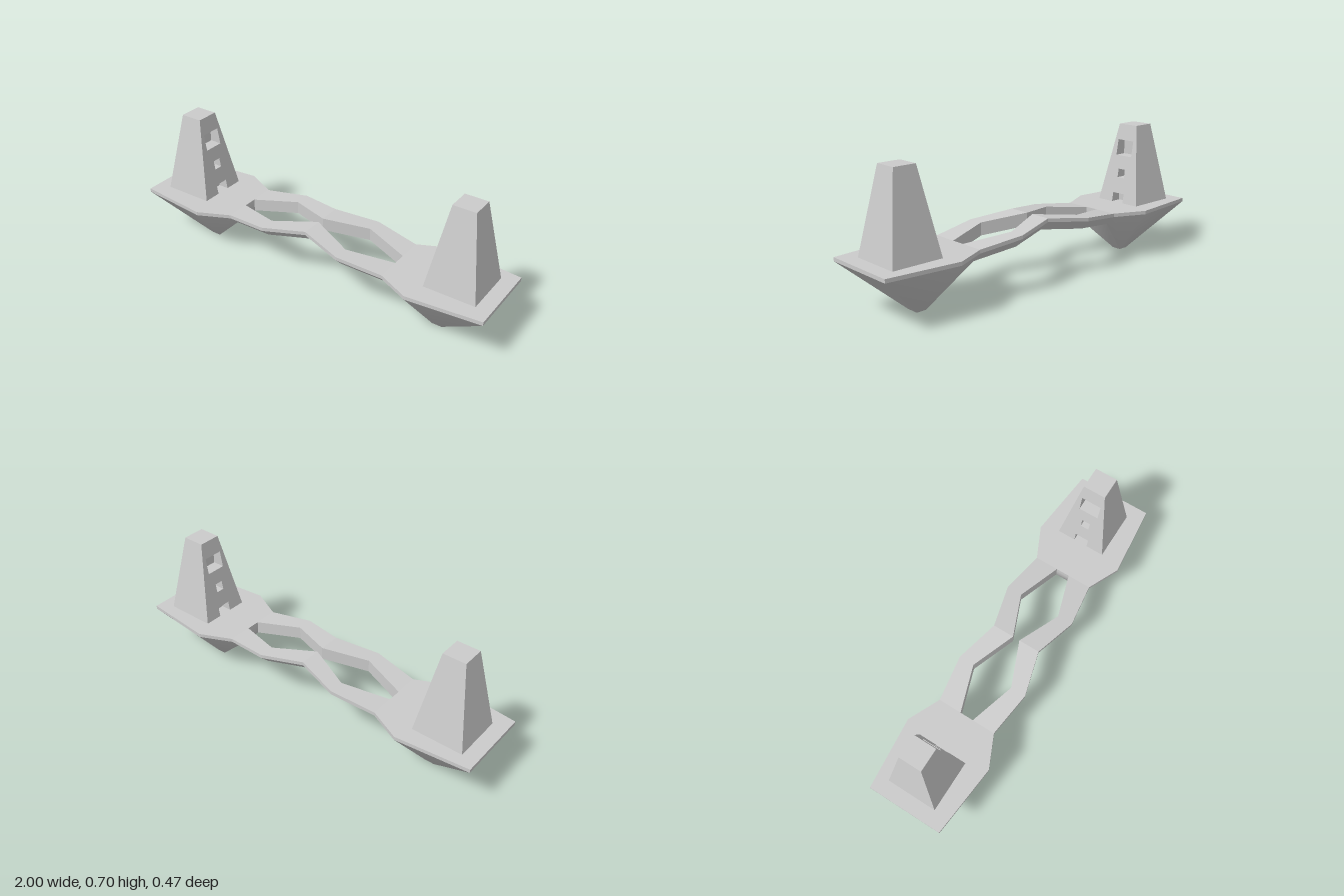
import * as THREE from 'three';
import { toCreasedNormals } from 'three/addons/utils/BufferGeometryUtils.js';
import { ConvexGeometry } from 'three/addons/geometries/ConvexGeometry.js';

const flat = new THREE.MeshStandardMaterial({ color: 0xcccccc, flatShading: true });
const smooth = new THREE.MeshStandardMaterial({ color: 0xcccccc });
const hollow = new THREE.MeshStandardMaterial({ color: 0xcccccc, flatShading: true, side: THREE.DoubleSide });

const DECK = 0.272, SLAB = 0.019;

function add(parent, name, geometry, material = flat) {
  const mesh = new THREE.Mesh(geometry, material);
  mesh.name = name;
  parent.add(mesh);
  return mesh;
}

// Flat end platform, outline in x and z
function platformGeometry() {
  const half = [[0.46, 0.16], [0.625, 0.237], [1, 0.2]];
  const outline = [...half, ...half.slice().reverse().map(([x, z]) => [x, -z])];
  const shape = new THREE.Shape(outline.map(([x, z]) => new THREE.Vector2(x, z)));
  return new THREE.ExtrudeGeometry(shape, { depth: SLAB, bevelEnabled: false })
    .rotateX(Math.PI / 2).translate(0, DECK, 0);
}

// Tapering rock under the platform, ending in a small blunt tip
function hullGeometry() {
  const y = DECK - SLAB;
  const corners = [
    [1, y, 0.2], [0.625, y, 0.237], [0.46, y, 0.16], [0.46, 0.205, 0.11],
    [0.738, 0.009, 0.027], [0.664, 0.009, 0.027], [0.725, 0, 0.025], [0.674, 0, 0.025],
  ];
  const points = corners.flatMap(([x, h, z]) =>
    [new THREE.Vector3(x, h, z), new THREE.Vector3(x, h, -z)]);
  return toCreasedNormals(new ConvexGeometry(points), 1.15);
}

// Square tapered tower with three recessed openings on its inner (-x) face
function makeTower() {
  const tower = new THREE.Group();
  tower.name = 'tower';
  const H = 0.425, base = 0.133, top = 0.059;
  const halfAt = (y) => base + (top - base) * y / H;

  add(tower, 'towerWalls', new THREE.CylinderGeometry(top * Math.SQRT2, base * Math.SQRT2, H,
    3, 1, true, -Math.PI / 4, Math.PI * 1.5).translate(0, H / 2, 0));
  add(tower, 'towerRoof', new THREE.PlaneGeometry(2 * top, 2 * top)
    .rotateX(-Math.PI / 2).translate(0, H, 0));

  const openings = [
    { name: 'upperWindow', w: 0.105, y0: 0.255, y1: 0.34 },
    { name: 'lowerWindow', w: 0.045, y0: 0.135, y1: 0.182 },
    { name: 'doorway', w: 0.075, y0: 0, y1: 0.05 },
  ];
  const d = openings[2].w / 2, dh = openings[2].y1;
  const face = new THREE.Shape([[-base, 0], [-d, 0], [-d, dh], [d, dh], [d, 0],
    [base, 0], [top, H], [-top, H]].map(([u, v]) => new THREE.Vector2(u, v)));
  for (const { w, y0, y1 } of openings.slice(0, 2)) {
    face.holes.push(new THREE.Path([[-w / 2, y0], [-w / 2, y1], [w / 2, y1], [w / 2, y0]]
      .map(([u, v]) => new THREE.Vector2(u, v))));
  }
  const inner = new THREE.ShapeGeometry(face).rotateY(-Math.PI / 2);
  const p = inner.attributes.position;
  for (let i = 0; i < p.count; i++) p.setX(i, -halfAt(p.getY(i)));
  add(tower, 'towerInnerWall', inner);

  // Each recess is a box open towards -x, its mouth following the wall slope
  for (const { name, w, y0, y1 } of openings) {
    const back = -halfAt(y1) + 0.05;
    const box = new THREE.BoxGeometry(1, y1 - y0, w).translate(0, (y0 + y1) / 2, 0);
    const q = box.attributes.position;
    for (let i = 0; i < q.count; i++) q.setX(i, q.getX(i) > 0 ? back : -halfAt(q.getY(i)));
    const index = Array.from(box.index.array);
    index.splice(6, 6);
    box.setIndex(index);
    box.clearGroups();
    add(tower, name, box, hollow);
  }
  return tower;
}

// One bridge strand: sections lofted along x, slanting underneath
function strandGeometry() {
  const half = [
    { x: 0, top: 0.327, outer: 0.132, inner: 0.019 },
    { x: 0.225, top: 0.3, outer: 0.193, inner: 0.112 },
    { x: 0.46, top: DECK, outer: 0.16, inner: 0.036 },
  ];
  const stations = [...half.slice(1).reverse().map((s) => ({ ...s, x: -s.x })), ...half];
  const rings = stations.map(({ x, top, outer, inner }) => [
    [x, top, outer], [x, top - SLAB, outer], [x, top - 0.067, outer - 0.05],
    [x, top - 0.067, inner], [x, top, inner],
  ]);
  const verts = [];
  for (let i = 0; i < rings.length - 1; i++) {
    for (let j = 0; j < 5; j++) {
      const k = (j + 1) % 5;
      const a = rings[i][j], b = rings[i][k], c = rings[i + 1][k], e = rings[i + 1][j];
      verts.push(...a, ...b, ...c, ...a, ...c, ...e);
    }
  }
  const geometry = new THREE.BufferGeometry();
  geometry.setAttribute('position', new THREE.Float32BufferAttribute(verts, 3));
  geometry.computeVertexNormals();
  return geometry;
}

export function createModel() {
  const model = new THREE.Group();
  model.name = 'twinTowerBridge';
  const platform = platformGeometry(), hull = hullGeometry(), strand = strandGeometry();

  for (const side of [1, -1]) {
    const turn = side > 0 ? 0 : Math.PI;
    const island = new THREE.Group();
    island.name = side > 0 ? 'leftIsland' : 'rightIsland';
    island.rotation.y = turn;
    add(island, 'platform', platform);
    add(island, 'hull', hull, smooth);
    const tower = makeTower();
    tower.position.set(0.791, DECK, -0.01 * side);
    island.add(tower);
    model.add(island);

    add(model, side > 0 ? 'frontStrand' : 'backStrand', strand).rotation.y = turn;
  }
  return model;
}
